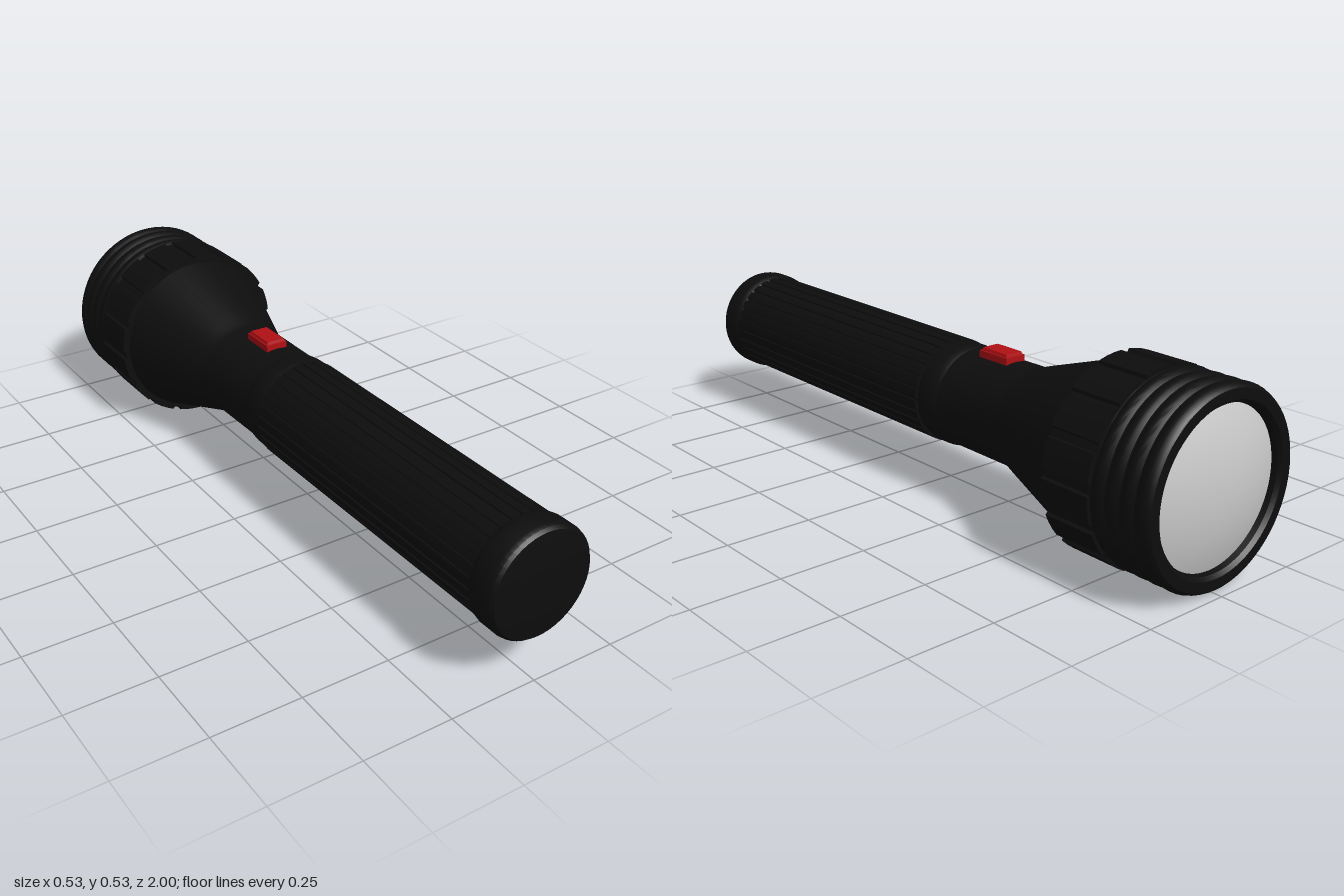
import * as THREE from 'three';
import { toCreasedNormals } from 'three/addons/utils/BufferGeometryUtils.js';

const black = new THREE.MeshStandardMaterial({ color: 0x0d0d0d });
const red = new THREE.MeshStandardMaterial({ color: 0xb01015 });
const grey = new THREE.MeshStandardMaterial({ color: 0xcccccc, side: THREE.DoubleSide });

function addMesh(parent, name, geometry, material) {
  const mesh = new THREE.Mesh(geometry, material);
  mesh.name = name;
  parent.add(mesh);
  return mesh;
}

// Turned part along z: profile of [radius, z] with z rising on the outside
function turned(profile, segments = 48) {
  const points = profile.map(([r, z]) => new THREE.Vector2(r, z));
  const geometry = new THREE.LatheGeometry(points, segments).rotateX(Math.PI / 2);
  return toCreasedNormals(geometry, 0.5);
}

// Ring of raised bars separated by grooves, extruded from z0 to z1
function ribbed(count, outer, inner, gap, z0, z1) {
  const shape = new THREE.Shape();
  const step = (Math.PI * 2) / count;
  const plot = (r, a, first) => shape[first ? 'moveTo' : 'lineTo'](r * Math.cos(a), r * Math.sin(a));
  for (let i = 0; i < count; i++) {
    const a = i * step;
    plot(inner, a, i === 0);
    plot(inner, a + step * gap);
    for (let k = 0; k <= 3; k++) plot(outer, a + step * (gap + 0.04 + (0.96 - gap) * k / 3 * 0.96));
  }
  const geometry = new THREE.ExtrudeGeometry(shape, { depth: z1 - z0, bevelEnabled: false });
  return toCreasedNormals(geometry.translate(0, 0, z0), 0.3);
}

export function createModel() {
  const model = new THREE.Group();
  model.name = 'flashlight';

  // The whole torch leans very slightly, tail up
  const torch = new THREE.Group();
  torch.name = 'torch';
  torch.position.y = 0.272;
  torch.rotation.x = -0.0066;
  model.add(torch);

  // Head: recessed front rim, rounded rings, collar, cone and neck
  const head = [[0.205, -0.94], [0.213, -0.975], [0.222, -0.985], [0.25, -0.985]];
  const rings = 4, ringStart = -0.982, ringLength = 0.045;
  for (let i = 0; i < rings; i++) {
    for (let k = 0; k <= 5; k++) {
      head.push([0.254 + 0.008 * Math.sin((Math.PI * k) / 5), ringStart + ringLength * (i + k / 5.5)]);
    }
  }
  head.push([0.256, -0.8], [0.256, -0.65], [0.243, -0.648],
    [0.158, -0.39], [0.148, -0.362], [0.142, -0.34], [0.141, -0.1]);
  addMesh(torch, 'head', turned(head, 64), black);

  // Grip bars around the collar
  addMesh(torch, 'headGrip', ribbed(16, 0.265, 0.256, 0.2, -0.802, -0.648), black);

  // Domed lens
  const lens = [];
  for (let i = 0; i <= 12; i++) {
    const r = (0.213 * i) / 12;
    lens.push([r, -0.998 + 0.6 - Math.sqrt(0.36 - r * r)]);
  }
  addMesh(torch, 'lens', turned(lens), grey);

  // Rounded ring between neck and handle
  addMesh(torch, 'neckRing', turned([[0.141, -0.105], [0.145, -0.095], [0.147, -0.08],
    [0.147, -0.045], [0.144, -0.03], [0.141, -0.022], [0.141, -0.01]]), black);

  // Handle with lengthwise grooves
  addMesh(torch, 'handle', ribbed(28, 0.15, 0.146, 0.2, -0.025, 0.92), black);

  // Tail cap with softened edges
  addMesh(torch, 'tailCap', turned([[0.146, 0.905], [0.153, 0.914], [0.156, 0.928], [0.156, 0.975],
    [0.153, 0.988], [0.146, 0.996], [0.135, 0.998], [0, 0.998]]), black);

  // Slide switch: base plate with a bevelled button
  const base = addMesh(torch, 'switchBase', new THREE.BoxGeometry(0.066, 0.03, 0.108), red);
  base.position.set(0, 0.142, -0.215);
  const button = new THREE.BoxGeometry(0.062, 0.014, 0.102);
  const pos = button.attributes.position;
  for (let i = 0; i < pos.count; i++) {
    if (pos.getY(i) > 0) pos.setXYZ(i, pos.getX(i) * 0.85, pos.getY(i), pos.getZ(i) * 0.92);
  }
  button.computeVertexNormals();
  addMesh(torch, 'switchButton', button, red).position.set(0, 0.158, -0.215);

  return model;
}
